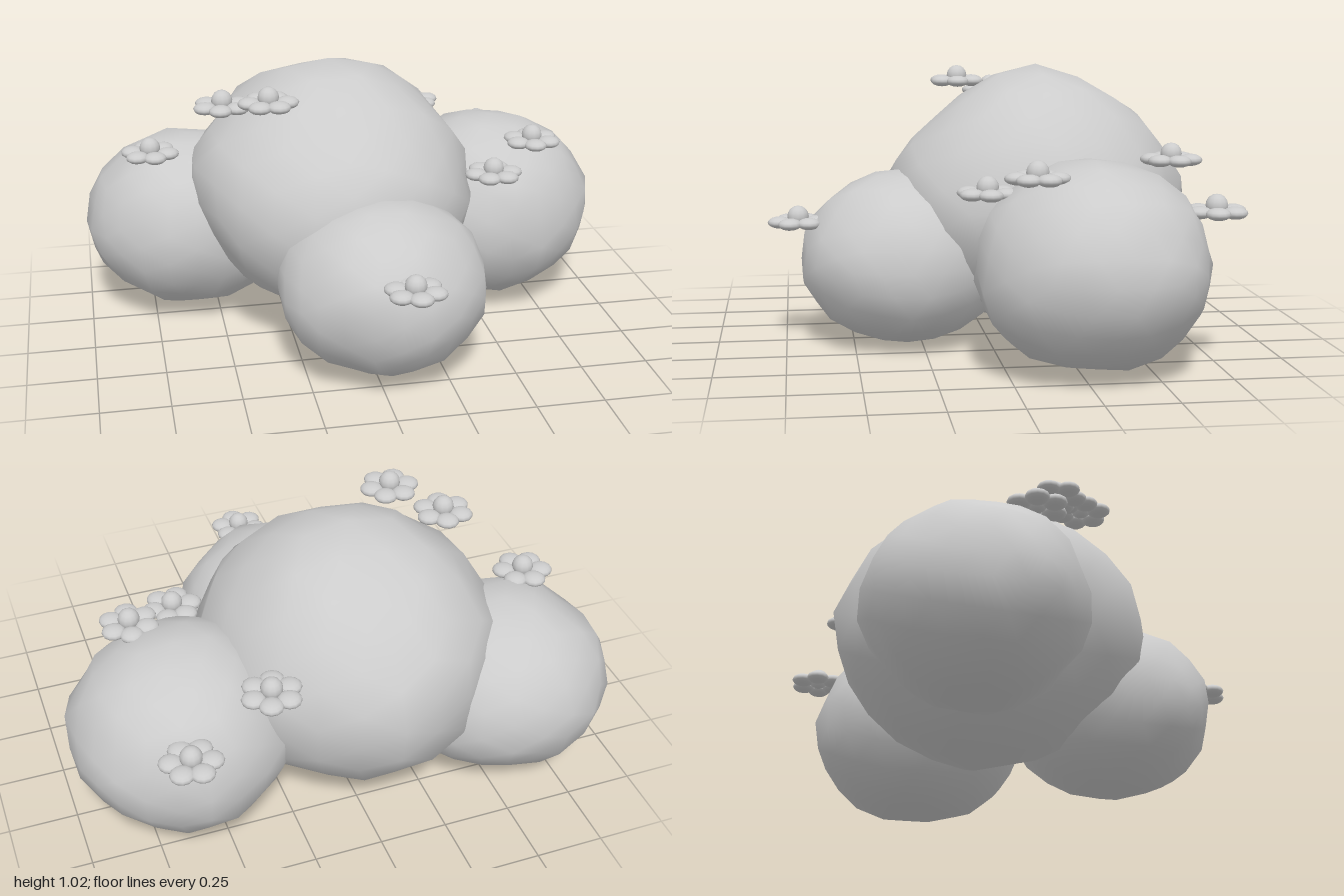
import * as THREE from 'three';
import { mergeVertices } from 'three/addons/utils/BufferGeometryUtils.js';

const grey = new THREE.MeshStandardMaterial({ color: 0xcccccc });

// Small repeatable random generator
function seeded(seed) {
  let s = seed;
  return () => (s = (s * 16807) % 2147483647) / 2147483647;
}

// Lumpy smooth-shaded ball that fills the box from min to max.
// Each bump is [x, y, z, amount]: a soft swelling or dent in that direction.
function lump(name, min, max, seed, bumps) {
  const random = seeded(seed);
  let geometry = new THREE.IcosahedronGeometry(1, 3);
  geometry.deleteAttribute('normal');
  geometry.deleteAttribute('uv');
  geometry = mergeVertices(geometry, 1e-3);

  const position = geometry.attributes.position;
  const v = new THREE.Vector3();
  const directions = bumps.map(([x, y, z]) => new THREE.Vector3(x, y, z).normalize());
  for (let i = 0; i < position.count; i++) {
    v.fromBufferAttribute(position, i);
    let radius = 1 + 0.06 * (random() - 0.5);
    directions.forEach((direction, k) => {
      radius += bumps[k][3] * Math.exp(7 * (v.dot(direction) - 1));
    });
    v.multiplyScalar(radius);
    position.setXYZ(i, v.x, v.y, v.z);
  }

  geometry.computeBoundingBox();
  const size = geometry.boundingBox.getSize(new THREE.Vector3());
  const centre = geometry.boundingBox.getCenter(new THREE.Vector3());
  const lo = new THREE.Vector3(...min);
  const hi = new THREE.Vector3(...max);
  const scale = hi.clone().sub(lo).divide(size);
  const middle = lo.add(hi).multiplyScalar(0.5);
  geometry.translate(-centre.x, -centre.y, -centre.z);
  geometry.scale(scale.x, scale.y, scale.z);
  geometry.translate(middle.x, middle.y, middle.z);
  geometry.computeVertexNormals();

  const mesh = new THREE.Mesh(geometry, grey);
  mesh.name = name;
  return mesh;
}

// Flower: ring of flattened petals around a raised ball
const petalGeometry = new THREE.SphereGeometry(0.043, 12, 8).scale(1, 0.5, 1);
const heartGeometry = new THREE.SphereGeometry(0.039, 12, 8);

function flower(x, y, z, turn) {
  const group = new THREE.Group();
  group.name = 'flower';
  const petals = 6;
  for (let i = 0; i < petals; i++) {
    const angle = turn + (i / petals) * Math.PI * 2;
    const petal = new THREE.Mesh(petalGeometry, grey);
    petal.name = 'petal';
    petal.position.set(Math.cos(angle) * 0.068, 0, Math.sin(angle) * 0.068);
    petal.rotation.y = -angle;
    group.add(petal);
  }
  const heart = new THREE.Mesh(heartGeometry, grey);
  heart.name = 'flowerCentre';
  heart.position.y = 0.021;
  group.add(heart);
  group.position.set(x, y, z);
  return group;
}

export function createModel() {
  const model = new THREE.Group();
  model.name = 'floweringBush';

  // Foliage: one large mass, tapering upward, with three smaller ones around it
  model.add(
    lump('mainFoliage', [-0.61, 0.03, -0.78], [0.48, 1.025, 0.375], 11, [
      [0, 0.6, 0.8, -0.1], [0, 0.65, -0.76, -0.08], [0.8, 0.6, 0, -0.05],
      [-0.77, 0.63, 0, -0.05], [-0.85, -0.5, 0.1, -0.06], [0.25, 0.97, 0, 0.03],
      [0, 0.15, 1, 0.03], [0.7, 0.2, -0.7, -0.04]
    ]),
    lump('frontFoliage', [-0.34, 0.0, -0.08], [0.42, 0.645, 0.69], 23, [
      [-0.1, 0.7, -0.7, -0.05], [0.7, 0.5, 0.4, -0.03], [-0.7, -0.7, 0, -0.03],
      [-0.7, 0.1, 0.7, -0.03], [0.7, 0, -0.7, -0.03], [-0.2, 0.97, 0, 0.02]
    ]),
    lump('leftFoliage', [0.2, 0.015, -0.71], [1.0, 0.735, 0.11], 37, [
      [0.75, -0.65, 0, -0.06], [0.7, 0.7, 0, -0.03], [-0.3, 0.9, -0.1, 0.04],
      [0.7, 0, -0.7, -0.04], [0.7, 0, 0.7, -0.04]
    ]),
    lump('rightFoliage', [-1.0, 0.02, -0.79], [-0.2, 0.7, -0.02], 52, [
      [-0.7, 0, 0.7, -0.01], [0.5, 0, -0.85, 0.03], [-0.75, 0.65, 0, -0.03],
      [-0.4, 0, -0.9, 0.04]
    ])
  );

  // Flowers scattered over the foliage
  const spots = [
    [-0.745, 0.679, -0.24], [-0.482, 0.9, -0.08], [-0.33, 0.948, 0.07],
    [0.07, 0.46, 0.7], [0.36, 0.704, -0.62], [0.665, 0.562, -0.7],
    [0.71, 0.69, -0.08], [0.52, 0.617, 0.06]
  ];
  spots.forEach(([x, y, z], i) => model.add(flower(x, y, z, i * 0.4 + 0.3)));

  return model;
}
